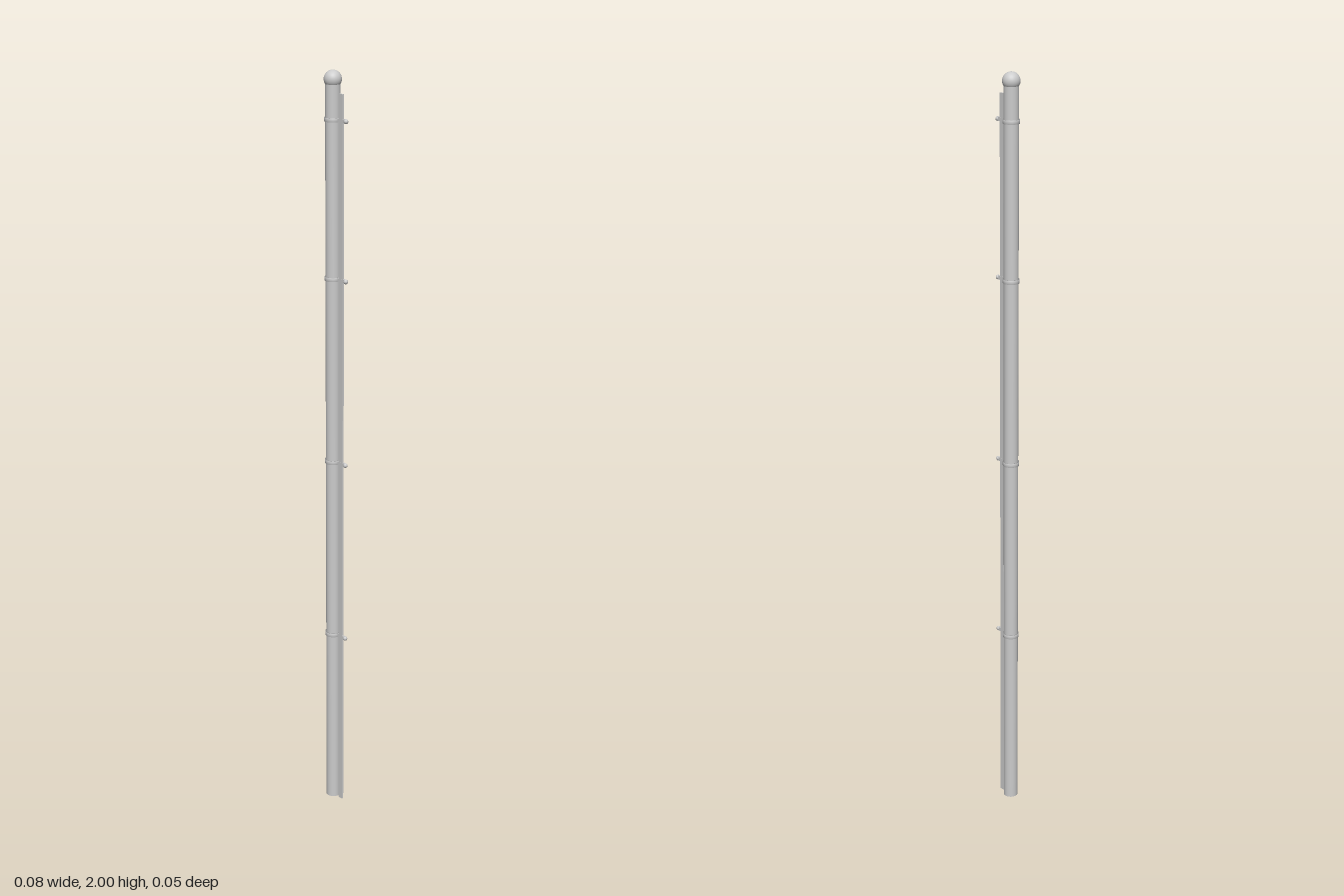
import * as THREE from 'three';

export function createModel() {
  const model = new THREE.Group();
  model.name = 'fencePost';
  const material = new THREE.MeshStandardMaterial({ color: 0xcccccc });
  const poleX = -0.018;

  const add = (parent, name, geometry, x, y, z = 0) => {
    const mesh = new THREE.Mesh(geometry, material);
    mesh.name = name;
    mesh.position.set(x, y, z);
    parent.add(mesh);
    return mesh;
  };

  // Round post with a ball cap
  add(model, 'post', new THREE.CylinderGeometry(0.019, 0.019, 1.98, 32), poleX, 0.99);
  add(model, 'cap', new THREE.SphereGeometry(0.0225, 32, 20), poleX, 1.9775);

  // Flat tension bar running alongside the post
  add(model, 'tensionBar', new THREE.BoxGeometry(0.014, 1.945, 0.005), 0.015, 0.9725);

  // Clamp ring profile, revolved around the post
  const ringProfile = [[0.0185, -0.005], [0.0215, -0.005], [0.0215, 0.005], [0.0185, 0.005], [0.0185, -0.005]]
    .map(([r, y]) => new THREE.Vector2(r, y));

  // Bands: ring, strap reaching past the bar, and a bolt at the end
  for (const y of [0.495, 0.99, 1.48, 1.88]) {
    const band = new THREE.Group();
    band.name = 'band';
    band.position.y = y;
    model.add(band);
    add(band, 'ring', new THREE.LatheGeometry(ringProfile, 32), poleX, 0);
    add(band, 'strap', new THREE.BoxGeometry(0.031, 0.01, 0.006), 0.0165, 0);
    add(band, 'bolt', new THREE.SphereGeometry(0.006, 12, 8), 0.032, 0);
  }
  return model;
}
